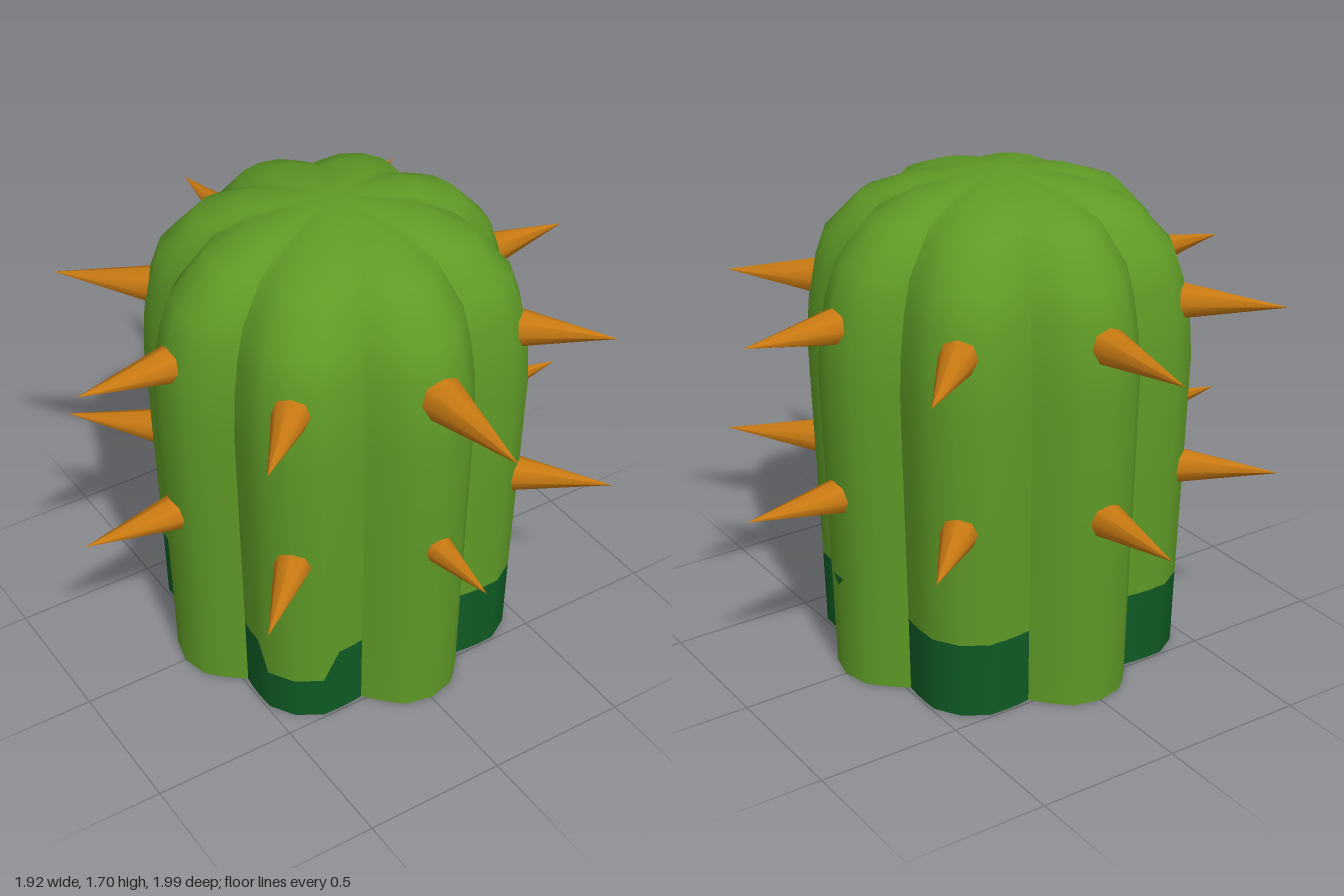
import * as THREE from 'three';
import { toCreasedNormals } from 'three/addons/utils/BufferGeometryUtils.js';

const mat = (name, color, side = THREE.FrontSide) => {
  const m = new THREE.MeshStandardMaterial({ color, side });
  m.name = name;
  return m;
};

// Outline of one rib: [degrees from its centre, share of the full radius]
const RIB = [[-22.5, 0.845], [-18.5, 0.882], [-14, 0.925], [-9, 0.975], [0, 1], [9, 0.975], [14, 0.925], [18.5, 0.882]];
// Vertical profile: [radius, height]; the second ring is the top of the painted band
const PROFILE = [[0.62, 0], [0.627, 0.27], [0.64, 0.68], [0.652, 1.08], [0.643, 1.22], [0.618, 1.35], [0.58, 1.46], [0.455, 1.59], [0.31, 1.645]];
const RIBS = 8, COLS = RIBS * RIB.length, NOTCHED_RIB = 7;

// Hollow ribbed body, open underneath; every second rib has a dark foot
function bodyGeometry() {
  const pos = [], green = [], dark = [];
  PROFILE.forEach(([radius, height], row) => {
    for (let c = 0; c < COLS; c++) {
      const rib = Math.floor(c / RIB.length);
      const [deg, share] = RIB[c % RIB.length];
      const a = THREE.MathUtils.degToRad(rib * 45 + deg);
      const dip = row === 1 && rib === NOTCHED_RIB && Math.abs(deg) < 10;
      pos.push(Math.sin(a) * radius * share, dip ? 0.165 : height, Math.cos(a) * radius * share);
    }
  });
  const apex = pos.length / 3;
  pos.push(0, 1.695, 0);
  for (let row = 0; row < PROFILE.length; row++) {
    for (let c = 0; c < COLS; c++) {
      const next = (c + 1) % COLS;
      const a = row * COLS + c, b = row * COLS + next;
      if (row === PROFILE.length - 1) {
        green.push(a, b, apex);
        continue;
      }
      const painted = row === 0 && Math.floor(c / RIB.length) % 2 === 1;
      (painted ? dark : green).push(a, b, b + COLS, a, b + COLS, a + COLS);
    }
  }
  const geo = new THREE.BufferGeometry();
  geo.setAttribute('position', new THREE.Float32BufferAttribute(pos, 3));
  geo.setIndex([...green, ...dark]);
  geo.addGroup(0, green.length, 0);
  geo.addGroup(green.length, dark.length, 1);
  return toCreasedNormals(geo, 0.75);
}

export function createModel() {
  const root = new THREE.Group();
  root.name = 'cactus';
  const green = mat('leaf green', 0x5f9a26, THREE.DoubleSide);
  const dark = mat('dark green', 0x0f5a24, THREE.DoubleSide);
  const orange = mat('thorn orange', 0xc97a12);

  const body = new THREE.Mesh(bodyGeometry(), [green, dark]);
  body.name = 'body';
  root.add(body);

  // Small dark mark on the left rib
  const tri = new THREE.Shape([new THREE.Vector2(-0.03, 0.385), new THREE.Vector2(0, 0.35), new THREE.Vector2(0.03, 0.385)]);
  const mark = new THREE.Mesh(new THREE.ShapeGeometry(tri), dark);
  mark.name = 'mark';
  mark.rotation.y = Math.PI / 2;
  mark.position.x = 0.636;
  root.add(mark);

  // Two rings of thorns, one on each rib: tip distance from the axis, starting at the front
  const rings = [
    { y: 1.275, tips: [1, 0.93, 0.94, 0.99, 0.99, 0.96, 0.94, 0.92], frontRadius: 0.08 },
    { y: 0.68, tips: [0.89, 0.96, 0.96, 0.96, 0.96, 0.96, 0.96, 0.96], frontRadius: 0.056 },
  ];
  const base = 0.595;
  for (const { y, tips, frontRadius } of rings) {
    tips.forEach((tip, i) => {
      const cone = new THREE.ConeGeometry(i === 0 ? frontRadius : 0.067, tip - base, 8);
      cone.rotateX(Math.PI / 2);
      cone.translate(0, 0, (tip + base) / 2);
      const thorn = new THREE.Mesh(cone, orange);
      thorn.name = 'thorn';
      thorn.position.y = y;
      thorn.rotation.y = i * Math.PI / 4;
      root.add(thorn);
    });
  }
  return root;
}
